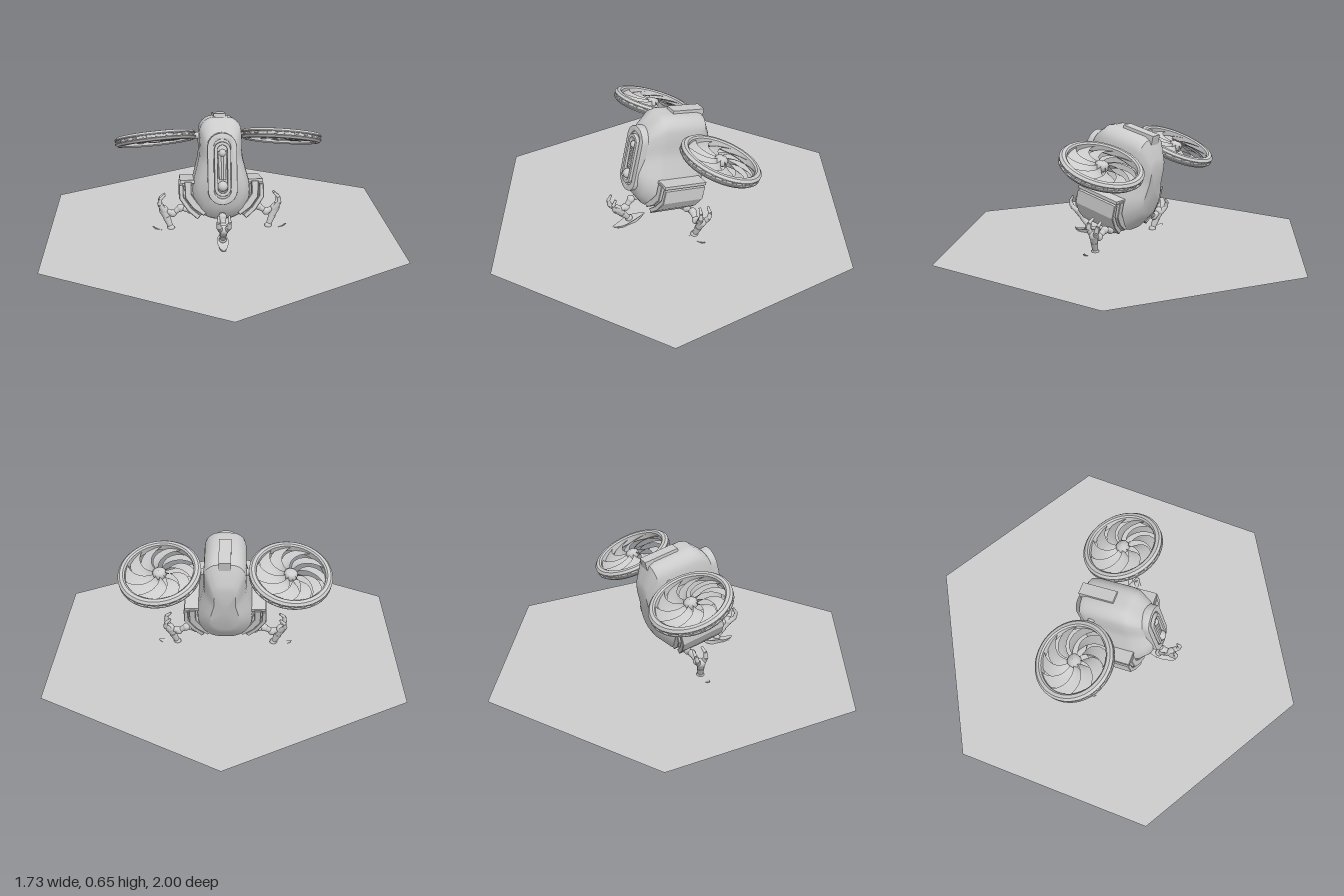
import * as THREE from 'three';
import { toCreasedNormals } from 'three/addons/utils/BufferGeometryUtils.js';

const grey = new THREE.MeshStandardMaterial({ color: 0xcccccc });
const thin = new THREE.MeshStandardMaterial({ color: 0xcccccc, side: THREE.DoubleSide });
const v3 = (x, y, z = 0) => new THREE.Vector3(x, y, z);

function add(parent, name, geometry, x = 0, y = 0, z = 0, material = grey) {
  const mesh = new THREE.Mesh(geometry, material);
  mesh.name = name;
  mesh.position.set(x, y, z);
  parent.add(mesh);
  return mesh;
}

// Tapered rod between two points
function rod(parent, name, a, b, ra, rb) {
  const d = b.clone().sub(a);
  const mesh = add(parent, name, new THREE.CylinderGeometry(rb, ra, d.length(), 12));
  mesh.position.copy(a).addScaledVector(d, 0.5);
  mesh.quaternion.setFromUnitVectors(v3(0, 1, 0), d.normalize());
  return mesh;
}

// Hull lofted along z: pear-shaped section, scaled at each station
function hullGeometry() {
  const half = [[0, 0.255], [0.06, 0.25], [0.096, 0.215], [0.105, 0.16], [0.106, 0.07], [0.122, 0.0],
    [0.14, -0.08], [0.135, -0.15], [0.1, -0.215], [0.05, -0.243], [0, -0.247]];
  const right = half.map(([x, y]) => v3(x, y));
  const left = half.slice(1, -1).reverse().map(([x, y]) => v3(-x, y));
  const n = 64;
  const outline = new THREE.CatmullRomCurve3([...right, ...left], true).getPoints(n).slice(0, n);
  const stations = [[-0.19, 0], [-0.19, 0.5], [-0.178, 0.64], [-0.125, 0.96], [-0.095, 1],
    [0.09, 1], [0.12, 0.96], [0.168, 0.76], [0.2, 0.5], [0.2, 0]];
  const pos = [], index = [];
  for (const [z, s] of stations) for (const p of outline) pos.push(p.x * s, p.y * s, z);
  for (let i = 0; i < stations.length - 1; i++) {
    for (let j = 0; j < n; j++) {
      const a = i * n + j, b = i * n + (j + 1) % n;
      index.push(a, a + n, b, b, a + n, b + n);
    }
  }
  const g = new THREE.BufferGeometry();
  g.setAttribute('position', new THREE.Float32BufferAttribute(pos, 3));
  g.setIndex(index);
  return toCreasedNormals(g, 0.5);
}

// Upright capsule outline, optionally extruded with a capsule hole
function capsulePath(path, r, y0, y1) {
  path.moveTo(r, y0 + r);
  path.lineTo(r, y1 - r);
  path.absarc(0, y1 - r, r, 0, Math.PI, false);
  path.lineTo(-r, y0 + r);
  path.absarc(0, y0 + r, r, Math.PI, Math.PI * 2, false);
  return path;
}
function capsulePlate(r, y0, y1, depth, wall = 0) {
  const shape = capsulePath(new THREE.Shape(), r, y0, y1);
  if (wall) shape.holes.push(capsulePath(new THREE.Path(), r - wall, y0 + wall, y1 - wall));
  return toCreasedNormals(new THREE.ExtrudeGeometry(shape,
    { depth, bevelSize: 0.004, bevelThickness: 0.004, bevelSegments: 2, curveSegments: 16 }), 0.6);
}

function prism(points, depth) {
  const g = new THREE.ExtrudeGeometry(new THREE.Shape(points.map(([x, y]) => new THREE.Vector2(x, y))),
    { depth, bevelSize: 0.003, bevelThickness: 0.003, bevelSegments: 1 });
  return g.translate(0, 0, -depth / 2);
}

function makeBody() {
  const body = new THREE.Group();
  body.name = 'body';
  add(body, 'hull', hullGeometry());
  add(body, 'topBox', new THREE.BoxGeometry(0.06, 0.05, 0.18), 0, 0.245, -0.05);
  // Cockpit window in the nose
  add(body, 'windowFrame', capsulePlate(0.067, -0.157, 0.182, 0.085, 0.022), 0, 0, 0.125);
  add(body, 'windowGlass', capsulePlate(0.047, -0.138, 0.163, 0.06), 0, 0, 0.143);
  add(body, 'windowInnerRim', capsulePlate(0.035, -0.115, 0.14, 0.02, 0.008), 0, 0, 0.202);
  add(body, 'noseLamp', new THREE.SphereGeometry(0.025, 20, 14), 0, -0.07, 0.215);
  for (const x of [-0.013, 0, 0.013])
    rod(body, 'noseTube', v3(x * 0.7, -0.04, 0.212), v3(x, 0.1, 0.21), 0.007, 0.008);
  add(body, 'noseCap', new THREE.SphereGeometry(0.018, 16, 12), 0, 0.09, 0.212);
  // Layered armour along both lower flanks
  for (const s of [1, -1]) {
    const flank = new THREE.Group();
    flank.name = s > 0 ? 'leftFlank' : 'rightFlank';
    if (s < 0) flank.rotation.y = Math.PI;
    add(flank, 'armourPanel', prism([[0.19, -0.075], [0.205, -0.075], [0.205, -0.14], [0.165, -0.2],
      [0.12, -0.24], [0.108, -0.226], [0.15, -0.19], [0.188, -0.135]], 0.23));
    add(flank, 'armourLiner', prism([[0.15, -0.06], [0.178, -0.06], [0.176, -0.135], [0.14, -0.185],
      [0.09, -0.222], [0.07, -0.2], [0.12, -0.165], [0.15, -0.12]], 0.25));
    add(flank, 'armourCore', prism([[0.1, -0.075], [0.195, -0.085], [0.19, -0.135], [0.15, -0.19],
      [0.11, -0.23], [0.05, -0.2]], 0.17));
    add(flank, 'armourLedge', new THREE.BoxGeometry(0.07, 0.016, 0.24), 0.168, -0.057, 0);
    body.add(flank);
  }
  return body;
}

// One swept, twisted fan blade running out along its own arc
function bladeGeometry() {
  const g = new THREE.PlaneGeometry(1, 1, 10, 3);
  const p = g.attributes.position;
  for (let i = 0; i < p.count; i++) {
    const t = p.getX(i) + 0.5, w = p.getY(i);
    const r = 0.025 + 0.148 * t;
    const angle = 0.75 * t * t + w * (0.3 + 0.32 * Math.sin(Math.PI * Math.min(1, t * 0.8)));
    p.setXYZ(i, r * Math.cos(angle), w * 0.03 * (1 - 0.4 * t), r * Math.sin(angle));
  }
  g.computeVertexNormals();
  return g;
}

function makeRotor() {
  const rotor = new THREE.Group();
  const ring = [[0.17, -0.018], [0.178, -0.025], [0.194, -0.023], [0.205, -0.012], [0.205, -0.007],
    [0.197, -0.006], [0.197, 0.006], [0.205, 0.007], [0.205, 0.012], [0.194, 0.023], [0.178, 0.025],
    [0.17, 0.018], [0.17, -0.018]].map(([x, y]) => new THREE.Vector2(x, y));
  add(rotor, 'duct', toCreasedNormals(new THREE.LatheGeometry(ring, 64), 0.6), 0, 0, 0, thin);
  const hub = [[0, -0.022], [0.022, -0.02], [0.033, -0.01], [0.033, 0.012], [0.022, 0.022], [0, 0.026]]
    .map(([x, y]) => new THREE.Vector2(x, y));
  add(rotor, 'hub', new THREE.LatheGeometry(hub, 28));
  const blade = bladeGeometry();
  for (let i = 0; i < 10; i++)
    add(rotor, 'blade', blade, 0, 0, 0, thin).rotation.y = i * Math.PI / 5;
  for (let i = 0; i < 24; i++) {
    const a = i * Math.PI / 12;
    add(rotor, 'ductLug', new THREE.BoxGeometry(0.008, 0.008, 0.02),
      0.199 * Math.cos(a), 0, 0.199 * Math.sin(a)).rotation.y = -a;
  }
  return rotor;
}

// Curved claw: crescent side profile, thinned toward the tips and the keel
function clawGeometry() {
  const s = new THREE.Shape();
  s.moveTo(0.095, 0.005);
  s.quadraticCurveTo(0.05, -0.05, -0.005, -0.05);
  s.quadraticCurveTo(-0.05, -0.05, -0.085, -0.037);
  s.quadraticCurveTo(-0.04, -0.022, 0, -0.012);
  s.quadraticCurveTo(0.05, -0.018, 0.095, 0.005);
  const g = new THREE.ExtrudeGeometry(s, { depth: 0.056, steps: 2, bevelEnabled: false, curveSegments: 10 });
  g.translate(0, 0, -0.028);
  const p = g.attributes.position;
  for (let i = 0; i < p.count; i++) {
    const taper = Math.max(0.1, 1 - (p.getX(i) / 0.1) ** 2);
    const keel = 0.4 + 0.6 * Math.min(1, (p.getY(i) + 0.05) / 0.035);
    p.setZ(i, p.getZ(i) * taper * keel);
  }
  return toCreasedNormals(g, 0.6);
}

// Leg reaching out along +x, with its origin at the ankle
function makeLeg() {
  const leg = new THREE.Group();
  add(leg, 'claw', clawGeometry());
  add(leg, 'ankle', new THREE.SphereGeometry(0.019, 16, 12), 0, -0.006, 0);
  rod(leg, 'shin', v3(0.002, 0), v3(0.022, 0.05), 0.013, 0.019);
  rod(leg, 'shinUpper', v3(0.02, 0.045), v3(0.037, 0.088), 0.016, 0.023);
  add(leg, 'knee', new THREE.SphereGeometry(0.024, 16, 12), 0.036, 0.088, 0);
  // Jointed arm back to the hull
  const arm = [v3(-0.2, 0.075), v3(-0.135, 0.08), v3(-0.1, 0.085), v3(-0.05, 0.097),
    v3(-0.01, 0.07), v3(0.036, 0.088)];
  for (let i = 0; i < arm.length - 1; i++) {
    rod(leg, 'armLink', arm[i], arm[i + 1], 0.017, 0.012);
    add(leg, 'armJoint', new THREE.SphereGeometry(0.02, 14, 10), arm[i].x, arm[i].y, 0);
  }
  // Forked spikes above the knee
  for (const s of [1, -1]) {
    const path = [v3(0.036, 0.088, s * 0.012), v3(0.055, 0.118, s * 0.024),
      v3(0.053, 0.147, s * 0.027), v3(0.028, 0.17, s * 0.024)];
    for (let i = 0; i < 3; i++)
      rod(leg, 'spike', path[i], path[i + 1], 0.015 - i * 0.003, 0.012 - i * 0.003);
  }
  return leg;
}

export function createModel() {
  const model = new THREE.Group();
  model.name = 'hoverPod';

  const ground = add(model, 'groundPlate', new THREE.CircleGeometry(1, 6, Math.PI / 2), 0, 0.045, 0, thin);
  ground.rotation.x = -Math.PI / 2;

  const body = makeBody();
  body.position.set(0, 0.375, 0.02);
  body.rotation.x = -0.23;
  model.add(body);

  // Rotors and their mounts
  for (const s of [1, -1]) {
    const rotor = makeRotor();
    rotor.name = s > 0 ? 'leftRotor' : 'rightRotor';
    rotor.position.set(s * 0.32, 0.497, -0.085);
    rotor.rotation.set(-0.38, 0, -s * 0.09);
    model.add(rotor);
    rod(model, 'rotorMount', v3(s * 0.08, 0.51, -0.085), v3(s * 0.135, 0.51, -0.085), 0.02, 0.014);
  }

  // Legs: position, then tilt, yaw and roll
  const legs = [['leftLeg', [0.25, 0.052, 0.01], [-0.2, 0, 0]],
    ['rightLeg', [-0.25, 0.052, 0.01], [-0.2, Math.PI, 0]],
    ['frontLeg', [0, 0.085, 0.25], [0, -Math.PI / 2, -0.32]]];
  for (const [name, pos, rot] of legs) {
    const leg = makeLeg();
    leg.name = name;
    leg.position.set(...pos);
    leg.rotation.set(...rot);
    model.add(leg);
  }
  return model;
}
